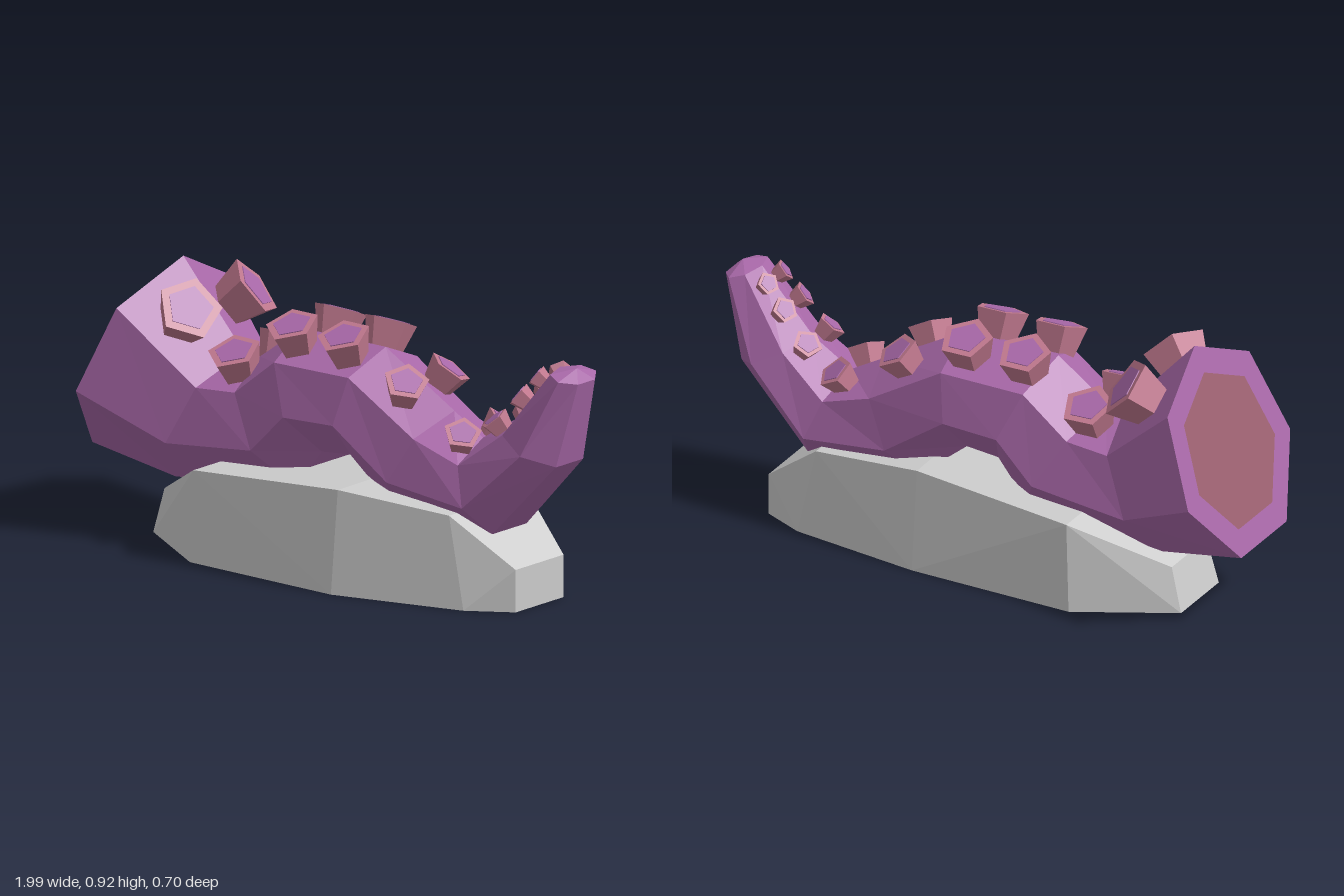
import * as THREE from 'three';
import { ConvexGeometry } from 'three/addons/geometries/ConvexGeometry.js';

const SIDES = 7;
const paint = (color) => new THREE.MeshStandardMaterial({ color, flatShading: true });
const V = (x, y, z) => new THREE.Vector3(x, y, z);

// Tentacle cross-sections: top x, y, bottom edge x, y, radius across
const RINGS = [
  [-0.74, 0.92, -1.0, 0.27, 0.36],
  [-0.48, 0.637, -0.68, 0.2, 0.255],
  [-0.41, 0.635, -0.17, 0.255, 0.24],
  [-0.23, 0.765, -0.06, 0.395, 0.235],
  [0.13, 0.765, 0.06, 0.405, 0.225],
  [0.425, 0.6, 0.245, 0.255, 0.215],
  [0.548, 0.53, 0.66, 0.237, 0.2],
  [0.69, 0.62, 0.92, 0.51, 0.16],
  [0.88, 0.832, 0.993, 0.8, 0.1],
];

function ringPoints([tx, ty, bx, by, r]) {
  const low = Math.cos((3 * 2 * Math.PI) / SIDES);
  return Array.from({ length: SIDES }, (_, k) => {
    const a = (k * 2 * Math.PI) / SIDES;
    const t = (1 - Math.cos(a)) / (1 - low);
    return V(tx + (bx - tx) * t, ty + (by - ty) * t, r * Math.sin(a));
  });
}

function meshFromTriangles(points, material, name) {
  const geometry = new THREE.BufferGeometry().setFromPoints(points);
  geometry.computeVertexNormals();
  const mesh = new THREE.Mesh(geometry, material);
  mesh.name = name;
  return mesh;
}

export function createModel() {
  const model = new THREE.Group();
  const skin = paint(0xa868a8);
  const pink = paint(0xc0788e);
  const flesh = paint(0x9c6070);

  // Rock: convex block with a sloping top; x, z of foot, then x, y, z of shoulder
  const corners = [
    [-0.76, 0.13, -0.72, 0.155, 0.12],
    [-0.43, 0.335, -0.42, 0.315, 0.33],
    [0.18, 0.34, 0.18, 0.35, 0.305],
    [0.64, 0.21, 0.57, 0.31, 0.2],
    [0.785, 0.115, 0.785, 0.145, 0.115],
    [0.785, -0.13, 0.785, 0.145, -0.13],
    [0.64, -0.2, 0.57, 0.31, -0.2],
    [0.17, -0.275, 0.17, 0.35, -0.24],
    [-0.43, -0.298, -0.42, 0.315, -0.295],
    [-0.76, -0.13, -0.72, 0.155, -0.12],
  ];
  const rock = new THREE.Mesh(
    new ConvexGeometry(corners.flatMap(([x, z, sx, sy, sz]) => [V(x, 0, z), V(sx, sy, sz)])),
    paint(0xcccccc)
  );
  rock.name = 'rock';
  model.add(rock);

  // Tentacle skin, starting from the rim of the cut end
  const rings = RINGS.map(ringPoints);
  const cutCentre = rings[0].reduce((s, p) => s.add(p), V(0, 0, 0)).divideScalar(SIDES);
  const cut = rings[0].map((p) => p.clone().lerp(cutCentre, 0.26));
  const loops = [cut, ...rings];
  const tip = V(0.952, 0.84, 0);
  const skinTriangles = [];
  const cutTriangles = [];
  for (let k = 0; k < SIDES; k++) {
    const n = (k + 1) % SIDES;
    for (let i = 0; i < loops.length - 1; i++) {
      const [a, b] = [loops[i], loops[i + 1]];
      skinTriangles.push(a[k], a[n], b[n], a[k], b[n], b[k]);
    }
    const last = loops[loops.length - 1];
    skinTriangles.push(last[k], last[n], tip);
    cutTriangles.push(cutCentre, cut[n], cut[k]);
  }
  model.add(meshFromTriangles(skinTriangles, skin, 'tentacle'));
  model.add(meshFromTriangles(cutTriangles, flesh, 'cutFlesh'));

  // Suckers: segment, position along it, radius; one on each side of the ridge
  const suckers = [
    [0, 0.45, 0.112], [1, 0.75, 0.092], [3, 0.13, 0.092], [3, 0.78, 0.092],
    [4, 0.55, 0.078], [5, 0.75, 0.065], [6, 0.85, 0.052], [7, 0.42, 0.046], [7, 0.78, 0.04],
  ];
  for (const [seg, t, r] of suckers) {
    for (const side of [1, -1]) {
      const k = side > 0 ? 1 : SIDES - 1;
      const [a, b] = [rings[seg], rings[seg + 1]];
      const ridge = a[0].clone().lerp(b[0], t);
      const flank = a[k].clone().lerp(b[k], t);
      const normal = a[k].clone().sub(a[0]).cross(b[0].clone().sub(a[0]));
      normal.multiplyScalar(side).normalize();

      const sucker = new THREE.Group();
      sucker.name = side > 0 ? 'frontSucker' : 'backSucker';
      const height = r * 1.15;
      const cup = new THREE.Mesh(new THREE.CylinderGeometry(r, r * 0.68, height, 5), pink);
      cup.name = 'suckerCup';
      cup.position.y = height * 0.38;
      const pad = new THREE.Mesh(new THREE.CylinderGeometry(r * 0.72, r * 0.72, 0.004, 5), skin);
      pad.name = 'suckerPad';
      pad.position.y = height * 0.88 + 0.001;
      sucker.add(cup, pad);
      sucker.position.copy(ridge.lerp(flank, 0.5));
      sucker.quaternion.setFromUnitVectors(V(0, 1, 0), normal);
      model.add(sucker);
    }
  }
  return model;
}
